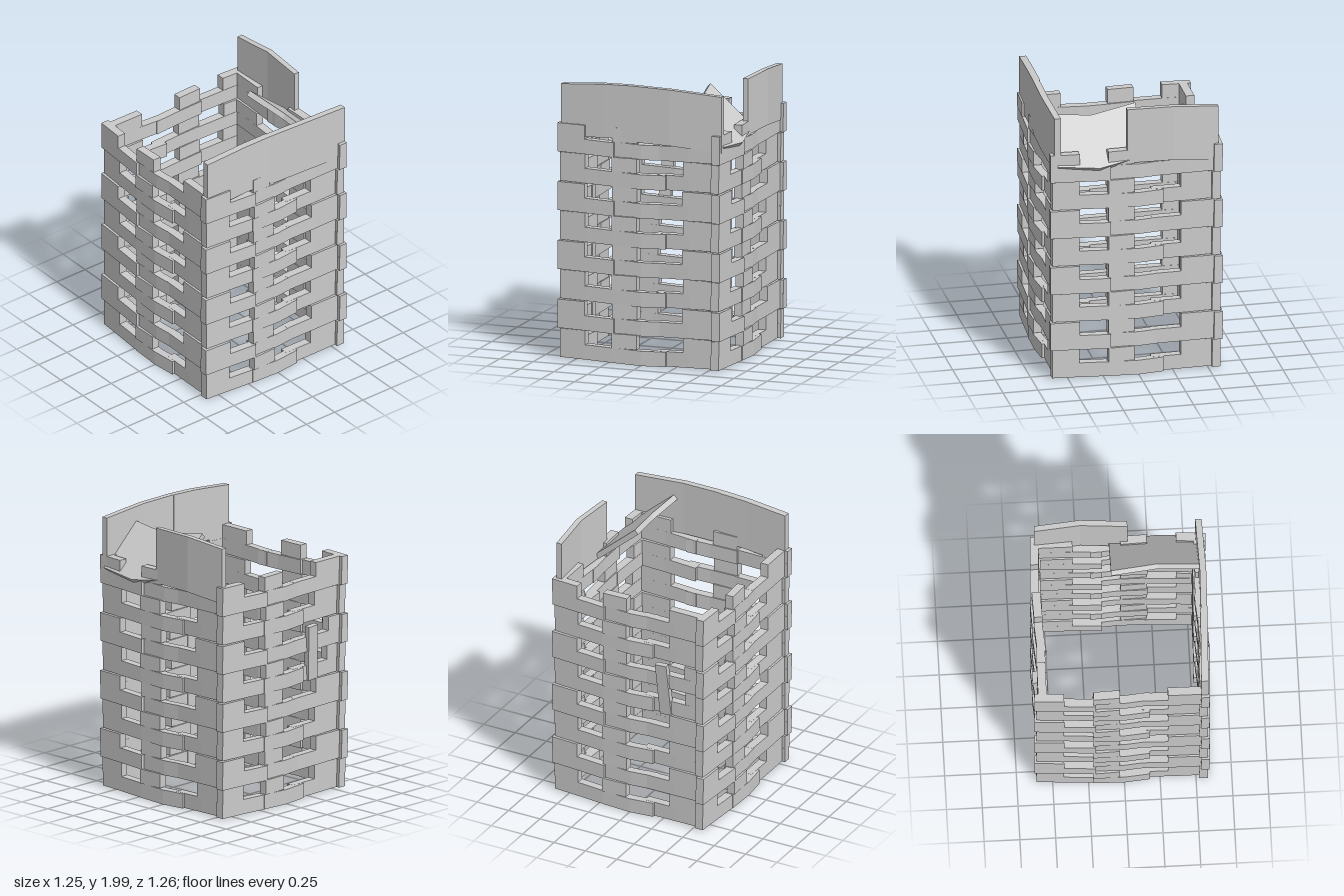
import * as THREE from 'three';

const material = new THREE.MeshStandardMaterial({ color: 0xcccccc, flatShading: true });

// Bent plank: pts are [position along wall, outer face distance, lift].
function plank(name, pts, y0, y1, thick = 0.06) {
  const n = pts.length - 1;
  const box = new THREE.BoxGeometry(n, 1, 1, n, 1, 1);
  const p = box.attributes.position;
  for (let i = 0; i < p.count; i++) {
    const [u, d, lift = 0] = pts[Math.round(p.getX(i) + n / 2)];
    const y = p.getY(i) > 0 ? y1 : y0;
    p.setXYZ(i, u, y + lift, p.getZ(i) > 0 ? d : d - thick);
  }
  const geometry = box.toNonIndexed();
  geometry.computeVertexNormals();
  const mesh = new THREE.Mesh(geometry, material);
  mesh.name = name;
  return mesh;
}

const ROWS = 8, PITCH = 0.21, BASE = 0.012, H = 0.106;

// One wall of interlocked boards, seen from its outside with u running left to right.
function createWall(name, broken) {
  const wall = new THREE.Group();
  wall.name = name;
  for (let k = 0; k < ROWS; k++) {
    const odd = k % 2;
    const s = odd ? 0.006 : -0.006;
    const left = odd ? -0.626 : -0.612;
    const y = BASE + k * PITCH;
    const top = y + H;
    const end = top + PITCH - H;

    // full-length course of three overlapping boards
    wall.add(
      plank('leftBoard', [[left, 0.588 + s, 0.005], [-0.42, 0.6 + s, 0.003], [-0.2, 0.612 + s, -0.002]], y, top),
      plank('middleBoard', [[-0.22, 0.603 - s, 0], [0, 0.606 - s, -0.006], [0.18, 0.592 - s, -0.002]], y, top),
      plank('rightBoard', [[0.1, 0.583 + s, -0.003], [0.35, 0.592 + s, 0.003], [0.57, 0.594 + s, 0.007]], y, top),
    );

    // spacer blocks, which also form the battlements on the last course
    const missing = broken && (k === 4 || k === 5);
    wall.add(
      plank('cornerBlock', [[left, 0.59 + s], [-0.42, 0.602 + s]], top, end),
      plank('middleBlock', [[-0.215, 0.612 - s], [-0.03, 0.606 - s]], top, end),
      plank('rightBlock', [[missing ? 0.43 : 0.305, 0.592 + s], [0.55, 0.594 + s]], top, end),
    );
  }
  return wall;
}

export function createModel() {
  const model = new THREE.Group();
  model.name = 'boardTower';

  const names = ['frontWall', 'leftWall', 'backWall', 'rightWall'];
  const walls = names.map((name, i) => {
    const wall = createWall(name, i === 3);
    wall.rotation.y = i * Math.PI / 2;
    model.add(wall);
    return wall;
  });
  const [, leftWall, backWall, rightWall] = walls;

  // tall panels above the left wall
  leftWall.add(
    plank('tallPanelFront', [[-0.605, 0.587, -0.03], [-0.28, 0.6, -0.005], [-0.07, 0.606, 0]], 1.62, 2, 0.05),
    plank('tallPanelBack', [[-0.07, 0.606, 0], [0.22, 0.613, -0.005], [0.6, 0.6, -0.03]], 1.6, 2, 0.045),
  );

  // tall panel above one half of the back wall
  backWall.add(plank('tallPanel', [[-0.08, 0.6, -0.005], [0.25, 0.622, 0], [0.57, 0.605, -0.03]], 1.6, 2, 0.04));

  // panel fallen inwards over the other half
  const slab = plank('fallenPanel', [[-0.575, 0, 0], [-0.28, 0, -0.035], [0.05, 0, 0.035]], 0, 0.42, 0.04);
  slab.position.set(0, 1.61, 0.61);
  slab.rotation.x = -0.85;
  backWall.add(slab);

  // broken board leaning in the damaged wall
  const stick = plank('looseBoard', [[-0.045, 0.02], [0.045, 0.02]], -0.2, 0.2, 0.04);
  stick.position.set(0.265, 1.05, 0.59);
  stick.rotation.set(0.08, 0, 0.06);
  rightWall.add(stick);

  return model;
}
